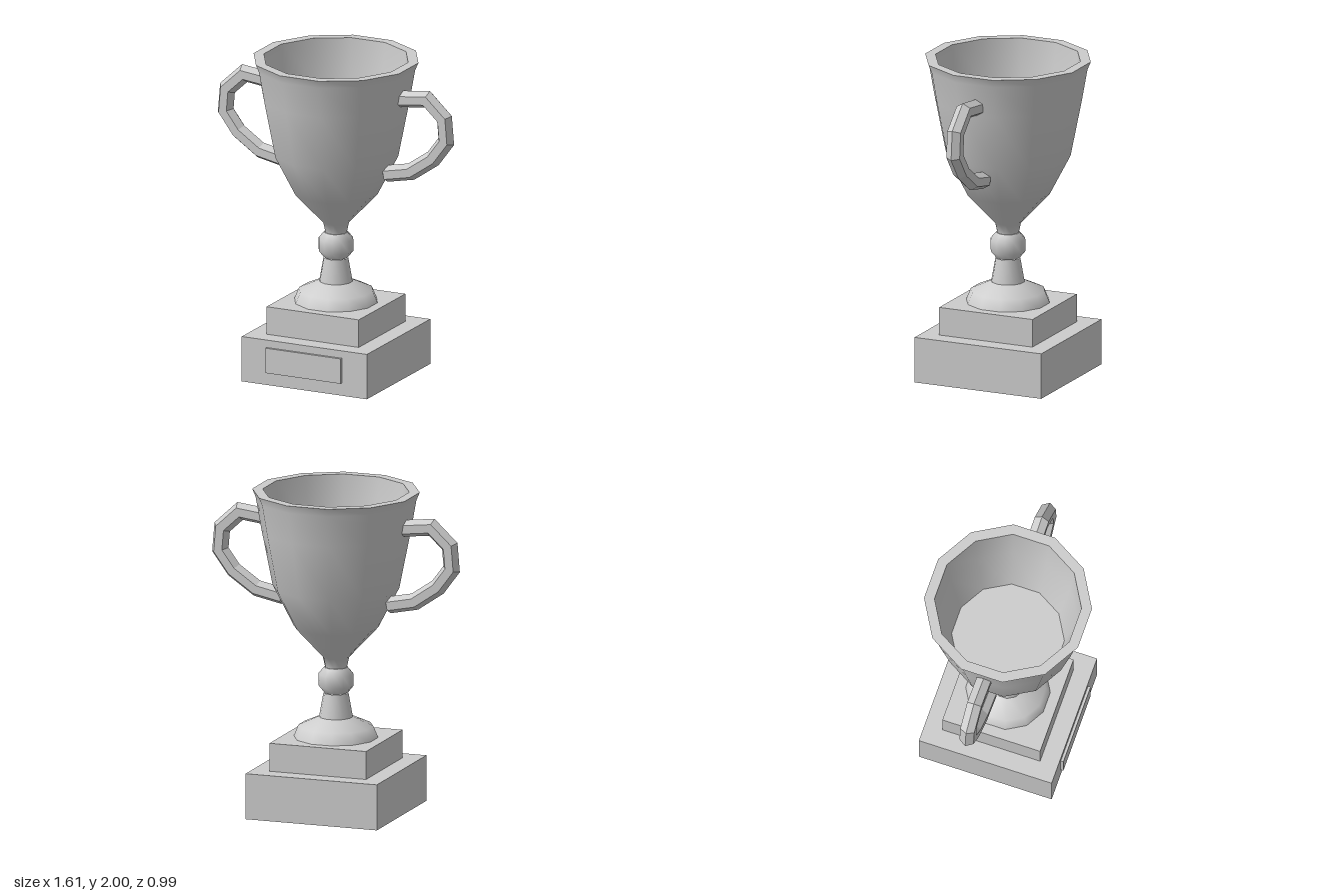
import * as THREE from 'three';

const SIDES = 12;
const APOTHEM = Math.cos(Math.PI / SIDES);

// Turned section with flats facing the axes; profile is [flat-to-centre radius, y], smooth along its length
function turned(profile) {
  const pts = profile.map(([r, y]) => new THREE.Vector2(r / APOTHEM, y));
  return new THREE.LatheGeometry(pts, SIDES, Math.PI / SIDES);
}

// Faceted hexagonal bar swept along a path in the xy plane, mitred at the bends
function hexBar(path, radius) {
  const pts = path.map(([x, y]) => new THREE.Vector2(x, y));
  const n = pts.length, pos = [], index = [];
  pts.forEach((p, i) => {
    const a = pts[Math.max(i - 1, 0)], b = pts[Math.min(i + 1, n - 1)];
    const dIn = (i > 0 ? p.clone().sub(a) : b.clone().sub(p)).normalize();
    const dOut = (i < n - 1 ? b.clone().sub(p) : dIn.clone()).normalize();
    const t = dIn.clone().add(dOut).normalize();
    const mitre = radius / t.dot(dIn);
    for (let k = 0; k < 6; k++) {
      const ang = k * Math.PI / 3, c = Math.cos(ang) * mitre;
      pos.push(p.x - t.y * c, p.y + t.x * c, Math.sin(ang) * radius);
    }
  });
  for (let i = 0; i < n - 1; i++) {
    for (let k = 0; k < 6; k++) {
      const a = i * 6 + k, b = i * 6 + (k + 1) % 6;
      index.push(a, b, a + 6, b, b + 6, a + 6);
    }
  }
  // End caps
  const e = (n - 1) * 6;
  for (let k = 1; k < 5; k++) index.push(0, k + 1, k, e, e + k, e + k + 1);
  const g = new THREE.BufferGeometry();
  g.setAttribute('position', new THREE.Float32BufferAttribute(pos, 3));
  g.setIndex(index);
  const flat = g.toNonIndexed();
  flat.computeVertexNormals();
  return flat;
}

export function createModel() {
  const group = new THREE.Group();
  const metal = new THREE.MeshStandardMaterial({ color: 0xcccccc });
  metal.name = 'silver grey';

  const add = (name, geometry) => {
    const mesh = new THREE.Mesh(geometry, metal);
    mesh.name = name;
    group.add(mesh);
    return mesh;
  };
  const block = (name, w, y0, y1, d, z = 0) =>
    add(name, new THREE.BoxGeometry(w, y1 - y0, d)).position.set(0, (y0 + y1) / 2, z);

  // Stepped plinth with a raised plaque
  block('lowerPlinth', 0.856, 0, 0.285, 0.856);
  block('upperPlinth', 0.63, 0.285, 0.46, 0.63);
  block('plaque', 0.514, 0.08, 0.238, 0.03, 0.43);

  // Foot, stem and bead
  add('foot', turned([[0.25, 0.46], [0.222, 0.53], [0.1, 0.587]]));
  add('stem', turned([[0.1, 0.587], [0.074, 0.737]]));
  add('bead', turned([[0.07, 0.737], [0.104, 0.78], [0.104, 0.855], [0.07, 0.897]]));
  add('beadTop', turned([[0.07, 0.897], [0, 0.897]]));

  // Cup: outside, rim, inside wall and floor
  add('cupOutside', turned([[0.065, 0.897], [0.078, 0.96], [0.25, 1.15], [0.375, 1.4],
    [0.442, 1.75], [0.476, 1.95], [0.496, 2]]));
  add('cupRim', turned([[0.496, 2], [0.434, 2]]));
  add('cupInside', turned([[0.434, 2], [0.41, 1.75], [0.333, 1.4]]));
  add('cupFloor', turned([[0.333, 1.4], [0, 1.4]]));

  // Pair of handles
  const handle = hexBar([[0.43, 1.798], [0.625, 1.821], [0.742, 1.712], [0.754, 1.57],
    [0.665, 1.45], [0.515, 1.347], [0.345, 1.312]], 0.052);
  add('leftHandle', handle);
  add('rightHandle', handle).rotation.y = Math.PI;

  return group;
}
